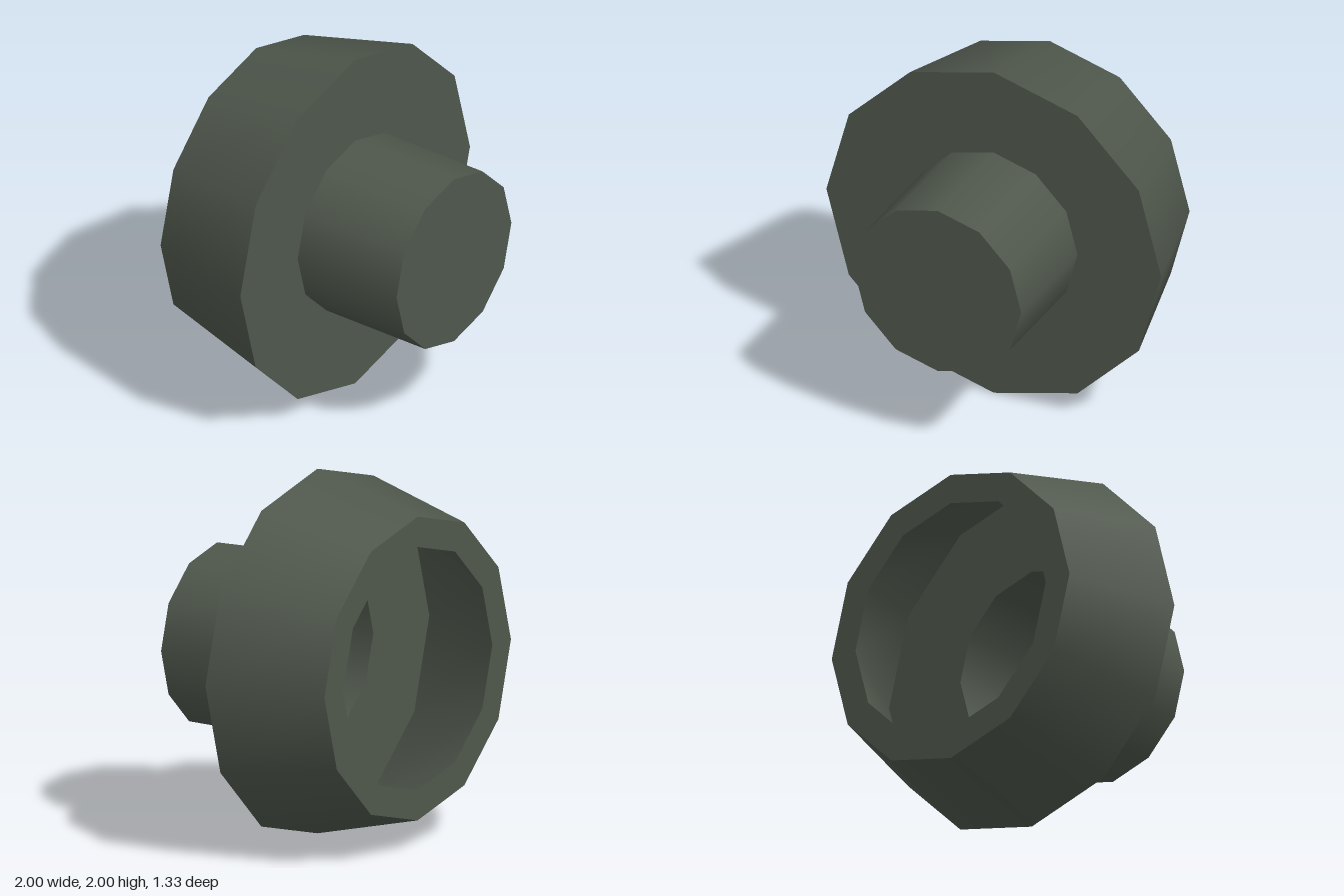
import * as THREE from 'three';

const SIDES = 12;

export function createModel() {
  const group = new THREE.Group();
  const darkGreen = new THREE.MeshStandardMaterial({ color: 0x4f574c, side: THREE.DoubleSide });
  darkGreen.name = 'dark grey green';

  // One twelve-sided band swept between two [radius, z] points
  const band = (name, from, to) => {
    const points = [from, to].map(([r, z]) => new THREE.Vector2(r, z));
    const geometry = new THREE.LatheGeometry(points, SIDES);
    geometry.rotateX(Math.PI / 2); // lathe axis becomes z
    const mesh = new THREE.Mesh(geometry, darkGreen);
    mesh.name = name;
    mesh.position.y = 1;
    group.add(mesh);
  };

  const half = 2 / 3;
  // Cup: undercut inner wall, rear rim, tapered outer wall, front plate
  band('cupInnerWall', [1, 0], [half, -half]);
  band('cupRim', [half, -half], [0.833, -half]);
  band('cupOuterWall', [0.833, -half], [1, 0]);
  band('cupFrontPlate', [1, 0], [0.5, 0]);
  // Hollow stem, open into the cup and capped in front
  band('stemWall', [0.5, 0], [0.5, half]);
  band('stemCap', [0.5, half], [0, half]);

  return group;
}
